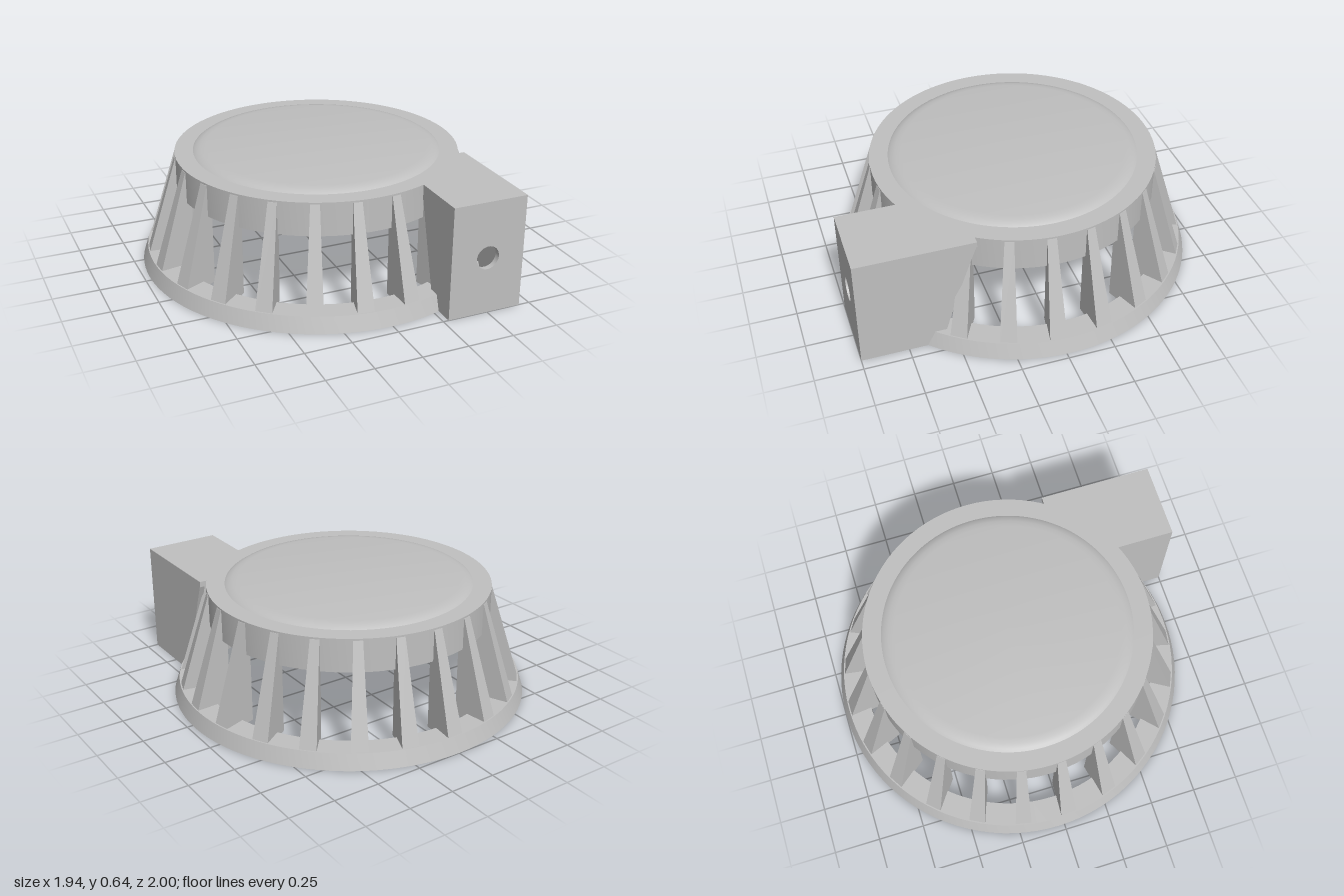
import * as THREE from 'three';
import { toCreasedNormals } from 'three/addons/utils/BufferGeometryUtils.js';

const CZ = -0.03;          // centre of the round body
const RIBS = 23;
const X0 = 0.28, X1 = 0.69; // sides of the cable box
const WALL = 0.03, TOP = 0.615;

export function createModel() {
  const model = new THREE.Group();
  const grey = new THREE.MeshStandardMaterial({ color: 0xc0c0c0 });
  grey.name = 'light grey';

  const add = (name, geometry, parent = model) => {
    const mesh = new THREE.Mesh(geometry, grey);
    mesh.name = name;
    parent.add(mesh);
    return mesh;
  };
  const lathe = (points) => toCreasedNormals(
    new THREE.LatheGeometry(points.map(([r, y]) => new THREE.Vector2(r, y)), 96), 0.5);
  const polygon = (points) => new THREE.Shape(points.map(([x, y]) => new THREE.Vector2(x, y)));
  const plate = (shape) => new THREE.ExtrudeGeometry(shape, { depth: WALL, bevelEnabled: false, curveSegments: 32 });

  const body = new THREE.Group();
  body.name = 'body';
  body.position.z = CZ;
  model.add(body);

  // Cap with a low raised disc and a hanging skirt
  add('cap', lathe([
    [0, 0.585], [0.73, 0.585], [0.73, 0.435], [0.77, 0.435], [0.77, TOP], [0.67, TOP],
    [0.655, 0.625], [0.63, 0.632], [0.6, 0.636], [0, 0.636],
  ]), body);

  // Sloping base ring
  add('baseRing', lathe([
    [0.82, 0], [0.97, 0], [0.942, 0.083], [0.82, 0.083], [0.82, 0],
  ]), body);

  // Wedge ribs: upright inner face, outer face leaning in toward the cap
  const ribGeometry = new THREE.BoxGeometry(1, 1, 1);
  const p = ribGeometry.attributes.position;
  for (let i = 0; i < p.count; i++) {
    const high = p.getY(i) > 0;
    const r = p.getZ(i) < 0 ? 0.74 : high ? 0.772 : 0.945;
    const width = 0.04 + (r - 0.74) * 0.25;
    p.setXYZ(i, p.getX(i) * width, high ? 0.605 : 0.05, r);
  }
  ribGeometry.computeVertexNormals();
  const ribs = new THREE.Group();
  ribs.name = 'ribs';
  body.add(ribs);
  for (let i = 0; i < RIBS; i++) {
    add('rib', ribGeometry, ribs).rotation.y = Math.PI + (i * 2 * Math.PI) / RIBS;
  }

  // Cable box, open below and toward the body
  const box = new THREE.Group();
  box.name = 'cableBox';
  model.add(box);

  const frontShape = polygon([[X0, 0], [X1, 0], [X1, TOP - WALL], [X0, TOP - WALL]]);
  frontShape.holes.push(new THREE.Path().absarc(0.485, 0.31, 0.063, 0, Math.PI * 2, true));
  add('boxFront', plate(frontShape), box).position.z = 1 - WALL;

  // Side walls end on the slope of the body
  const side = (name, x, rLow, rHigh) => {
    const points = [[1 - WALL, 0], [1 - WALL, TOP - WALL]];
    for (let i = 0; i <= 8; i++) {
      const t = 1 - i / 8;
      const r = rLow + (rHigh - rLow) * t;
      points.push([Math.sqrt(r * r - x * x) + CZ, t * (TOP - WALL)]);
    }
    const wall = add(name, plate(polygon(points)).rotateY(-Math.PI / 2), box);
    wall.position.x = x;
  };
  side('boxLeftWall', X1, 0.917, 0.805);
  side('boxRightWall', X0 + WALL, 0.917, 0.77);

  // Roof joins the rim of the cap along an arc
  const R = 0.768;
  const roof = [[X0, 1], [X1, 1], [X1, 0.38]];
  const a0 = Math.asin((0.38 - CZ) / R), a1 = Math.acos(X0 / R);
  for (let i = 0; i <= 16; i++) {
    const a = a0 + ((a1 - a0) * i) / 16;
    roof.push([R * Math.cos(a), R * Math.sin(a) + CZ]);
  }
  add('boxRoof', plate(polygon(roof)).rotateX(Math.PI / 2), box).position.y = TOP;

  return model;
}
